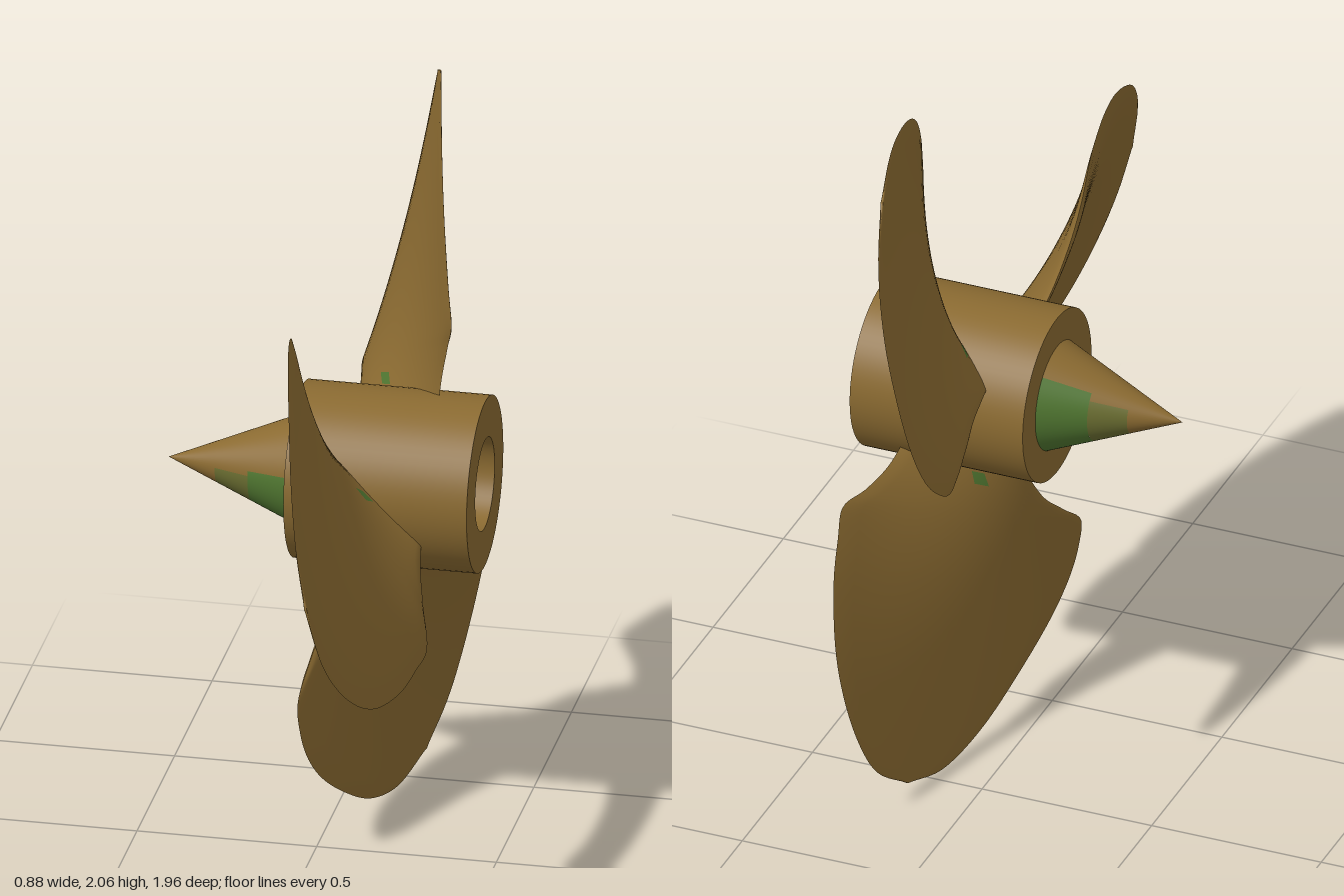
import * as THREE from 'three';

const mat = (name, hex) => {
  const m = new THREE.MeshStandardMaterial({ color: hex });
  m.name = name;
  return m;
};
const rad = THREE.MathUtils.degToRad;

// Blade outline in (z, y) from hub to tip: upper and lower edge, paired row by row
const UPPER = [[.16, .11], [.2, .14], [.295, .29], [.326, .417], [.353, .54], [.422, .582], [.5, .598],
  [.618, .582], [.804, .502], [.963, .4], [1.08, .264], [1.127, .105]];
const LOWER = [[.16, -.07], [.2, -.09], [.28, -.145], [.347, -.224], [.406, -.325], [.485, -.346], [.602, -.362],
  [.777, -.336], [.91, -.272], [1.03, -.17], [1.106, -.055], [1.127, .105]];
const edgeCurve = pts => new THREE.CatmullRomCurve3(pts.map(([z, y]) => new THREE.Vector3(0, y, z)));

// Helical blade: two curved sheets meeting at the rim
function bladeGeometry() {
  const rows = 55, cols = 24;
  const up = edgeCurve(UPPER), low = edgeCurve(LOWER);
  const pos = [], plain = [], patina = [];
  for (const side of [1, -1]) {
    const base = pos.length / 3;
    for (let i = 0; i <= rows; i++) {
      const a = low.getPoint(i / rows), b = up.getPoint(i / rows);
      for (let j = 0; j <= cols; j++) {
        const w = j / cols;
        const p = a.clone().lerp(b, w);
        const deg = THREE.MathUtils.radToDeg(Math.atan2(p.y, p.z));
        const r = Math.hypot(p.y, p.z);
        const pitch = 0.2 - 0.0045 * deg + 1.9e-7 * deg ** 3;
        const half = (0.004 + 0.02 * Math.max(0, 1 - r / 1.14)) * Math.sqrt(Math.max(0, 4 * w * (1 - w)));
        pos.push(pitch + side * half, p.y, p.z);
      }
    }
    for (let i = 0; i < rows - (0); i++) for (let j = 0; j < cols; j++) {
      const a = base + i * (cols + 1) + j, b = a + 1, d = a + cols + 1, c = d + 1;
      const green = i >= 8 && i < 10 && j >= 11 && j < 13;
      const quad = side > 0 ? [a, b, c, a, c, d] : [a, c, b, a, d, c];
      (green ? patina : plain).push(...quad);
    }
  }
  const g = new THREE.BufferGeometry();
  g.setAttribute('position', new THREE.Float32BufferAttribute(pos, 3));
  g.setIndex([...plain, ...patina]);
  g.addGroup(0, plain.length, 0);
  g.addGroup(plain.length, patina.length, 1);
  g.computeVertexNormals();
  return g;
}

export function createModel() {
  const bronze = mat('bronze', 0x8a6a31);
  const green = mat('green patina', 0x4f7530);
  const olive = mat('olive patina', 0x6a6d31);

  const model = new THREE.Group();
  model.name = 'propeller';
  const rotor = new THREE.Group();
  rotor.name = 'rotor';
  rotor.position.set(0, 1.04, -0.135);
  model.add(rotor);
  const add = (name, geo, material) => {
    const m = new THREE.Mesh(geo, material);
    m.name = name;
    rotor.add(m);
    return m;
  };

  // Hub: hollow barrel, one lathe per face to keep the rims sharp
  const back = -0.07, front = 0.44, R = 0.245, bore = 0.13;
  const profile = [[bore, back], [R, back], [R, front], [bore, front], [bore, back]];
  ['hubRearFace', 'hubBarrel', 'hubFrontFace', 'hubBore'].forEach((name, i) => {
    const pts = [profile[i], profile[i + 1]].map(p => new THREE.Vector2(...p));
    add(name, new THREE.LatheGeometry(pts, 64).rotateZ(-Math.PI / 2), bronze);
  });
  add('boreFloor', new THREE.CircleGeometry(bore, 48).rotateY(Math.PI / 2).translate(back, 0, 0), bronze);
  add('borePatina', new THREE.RingGeometry(0.106, bore, 40, 1, Math.PI, rad(200))
    .rotateY(Math.PI / 2).translate(back + 0.004, 0, 0), green);

  // Nose cone: three bands, with patina on the lower sector fading to the tip
  const tip = -0.44, coneR = 0.155;
  const radiusAt = x => coneR * (x - tip) / (back - tip);
  const cone = (name, x0, x1, start, length, material) => {
    const g = new THREE.CylinderGeometry(radiusAt(x1), radiusAt(x0), x0 - x1, 48, 1, true, rad(start), rad(length));
    add(name, g.rotateZ(Math.PI / 2).translate((x0 + x1) / 2, 0, 0), material);
  };
  cone('coneTip', -0.3, tip, 0, 360, bronze);
  [['coneMiddle', -0.2, -0.3, 145, 220, olive], ['coneBase', back, -0.2, 132, 241, green]]
    .forEach(([name, x0, x1, start, length, tint]) => {
      cone(name + 'Patina', x0, x1, start, length, tint);
      cone(name, x0, x1, start + length, 360 - length, bronze);
    });

  // Three blades around the shaft
  const blade = bladeGeometry();
  for (let k = 0; k < 3; k++) {
    add('blade' + (k + 1), blade, [bronze, green]).rotation.x = -k * Math.PI * 2 / 3;
  }
  return model;
}
